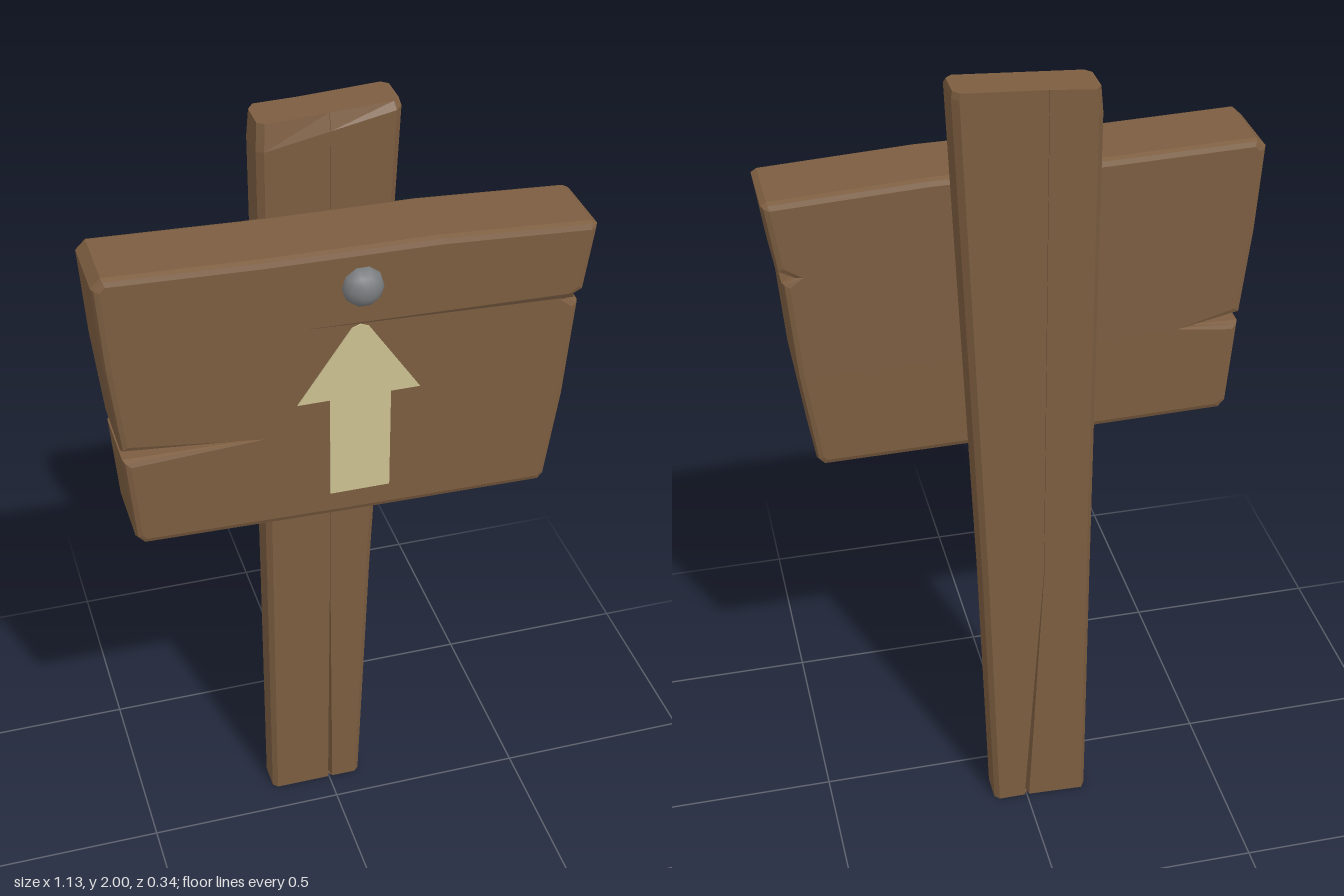
import * as THREE from 'three';

const wood = new THREE.MeshStandardMaterial({ color: 0x7c5d40, flatShading: true });
wood.name = 'wood';
const crackWood = new THREE.MeshStandardMaterial({ color: 0x5c4530 });
crackWood.name = 'crackWood';
const paint = new THREE.MeshStandardMaterial({ color: 0xcbc092 });
paint.name = 'palePaint';
const metal = new THREE.MeshStandardMaterial({ color: 0x7b7e80 });
metal.name = 'greyMetal';

function add(group, name, geometry, material) {
  const mesh = new THREE.Mesh(geometry, material);
  mesh.name = name;
  group.add(mesh);
  return mesh;
}

function shapeOf(points) {
  return new THREE.Shape(points.map(([x, y]) => new THREE.Vector2(x, y)));
}

// Chamfered rectangular section with a split in its front and back faces.
function postRing({ l, r, f, b, c, yl, yr, split, backX }) {
  const depth = split * 4;
  const plan = [
    [l, f - c], [l + c, f],
    [0.003 - split, f], [0.003, f - depth], [0.003 + split, f],
    [r - c, f], [r, f - c],
    [r, b + c], [r - c, b],
    [backX + split, b], [backX, b + depth], [backX - split, b],
    [l + c, b - 0.006], [l, b + c],
  ];
  return plan.map(([x, z]) => new THREE.Vector3(x, yl + (yr - yl) * (x - l) / (r - l), z));
}

// Skin consecutive rings and close both ends.
function loft(rings) {
  const pos = [];
  const tri = (...v) => v.forEach((p) => pos.push(p.x, p.y, p.z));
  const n = rings[0].length;
  const middle = (ring) => ring.reduce((s, p) => s.add(p), new THREE.Vector3()).divideScalar(n);
  for (let k = 0; k < rings.length - 1; k++) {
    for (let i = 0; i < n; i++) {
      const j = (i + 1) % n;
      const a = rings[k], d = rings[k + 1];
      tri(a[i], a[j], d[j]);
      tri(a[i], d[j], d[i]);
    }
  }
  const low = rings[0], high = rings[rings.length - 1];
  const lowMid = middle(low), highMid = middle(high);
  for (let i = 0; i < n; i++) {
    const j = (i + 1) % n;
    tri(low[j], low[i], lowMid);
    tri(high[i], high[j], highMid);
  }
  const geometry = new THREE.BufferGeometry();
  geometry.setAttribute('position', new THREE.Float32BufferAttribute(pos, 3));
  geometry.computeVertexNormals();
  return geometry;
}

// Board with a split on each side; the left split runs deeper at the front.
function boardGeometry() {
  const bevel = 0.016, back = -0.07, front = 0.13;
  const outline = shapeOf([
    [-0.495, 1.075], [0, 1.064], [0.465, 1.058], [0.48, 1.075],
    [0.512, 1.3], [0.532, 1.545], [0.508, 1.558], [0.542, 1.575],
    [0.565, 1.735], [0.552, 1.743], [0.2, 1.762], [-0.2, 1.766],
    [-0.545, 1.777], [-0.568, 1.755], [-0.555, 1.55], [-0.532, 1.336],
    [-0.3, 1.313], [-0.53, 1.31], [-0.513, 1.095],
  ]);
  const geometry = new THREE.ExtrudeGeometry(outline, {
    depth: front - back - 2 * bevel, bevelEnabled: true, bevelSize: bevel,
    bevelThickness: bevel, bevelOffset: -bevel, bevelSegments: 2,
  });
  geometry.translate(0, 0, back + bevel);
  const p = geometry.attributes.position;
  for (let i = 0; i < p.count; i++) {
    const x = p.getX(i), y = p.getY(i);
    if (x > -0.4 && x < -0.1 && y > 1.25 && y < 1.38) {
      const t = (p.getZ(i) - back) / (front - back);
      p.setX(i, x - 0.1 + 0.17 * t);
    }
  }
  geometry.computeVertexNormals();
  return geometry;
}

export function createModel() {
  const sign = new THREE.Group();
  sign.name = 'signpost';

  // Post: widens upwards, with a bevelled, tilted top
  add(sign, 'post', loft([
    postRing({ l: -0.157, r: 0.085, f: -0.075, b: -0.165, c: 0.012, yl: 0, yr: 0, split: 0.006, backX: 0 }),
    postRing({ l: -0.158, r: 0.11, f: -0.07, b: -0.165, c: 0.013, yl: 0.72, yr: 0.72, split: 0.0005, backX: -0.04 }),
    postRing({ l: -0.161, r: 0.166, f: -0.056, b: -0.168, c: 0.015, yl: 1.92, yr: 1.985, split: 0.0005, backX: -0.04 }),
    postRing({ l: -0.155, r: 0.163, f: -0.068, b: -0.168, c: 0.015, yl: 1.982, yr: 2, split: 0.0005, backX: -0.04 }),
  ]), wood);

  // Board and its fine surface crack
  add(sign, 'board', boardGeometry(), wood);
  const crack = add(sign, 'boardCrack', new THREE.ExtrudeGeometry(
    shapeOf([[-0.1, 1.584], [0.515, 1.562], [0.515, 1.571]]),
    { depth: 0.003, bevelEnabled: false }), crackWood);
  crack.position.z = 0.1285;

  // Painted arrow
  const arrow = add(sign, 'arrow', new THREE.ExtrudeGeometry(
    shapeOf([
      [-0.055, 1.13], [0.088, 1.13], [0.088, 1.39], [0.157, 1.39], [0.035, 1.57],
      [0.015, 1.578], [-0.005, 1.57], [-0.13, 1.39], [-0.055, 1.39],
    ]), { depth: 0.005, bevelEnabled: false }), paint);
  arrow.position.z = 0.128;

  // Domed nail head
  const nail = add(sign, 'nailHead', new THREE.SphereGeometry(0.048, 10, 8), metal);
  nail.rotation.x = Math.PI / 2;
  nail.scale.y = 0.85;
  nail.position.set(0.02, 1.673, 0.129);

  return sign;
}
